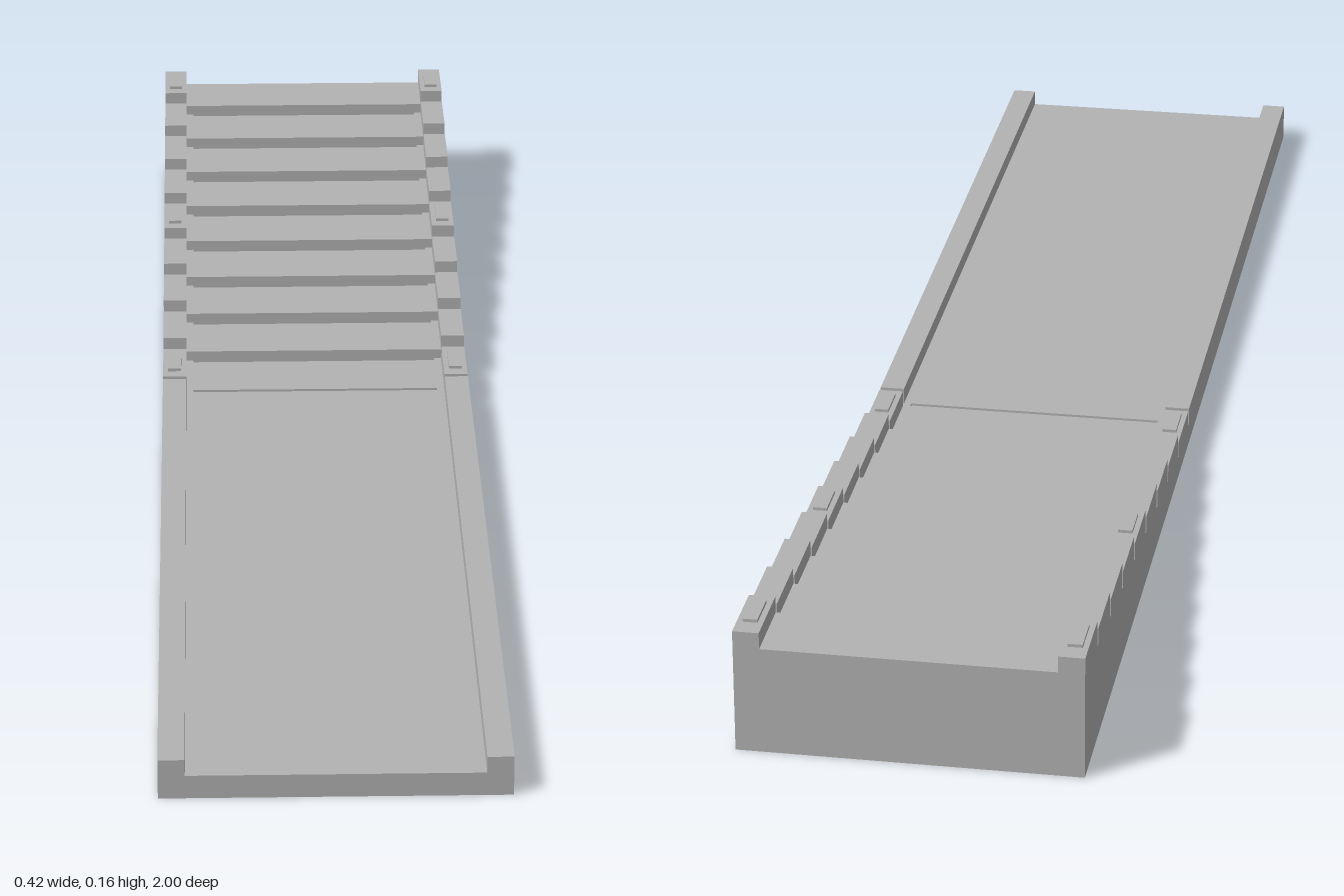
import * as THREE from 'three';

const HALF = 0.21, INNER = 0.178, RAIL = 0.021, FLOOR = 0.03;
const STEPS = 9, RISE = 0.0135, START = -0.09, SLIT = 0.008;
const PITCH = (1 + START) / STEPS;

export function createModel() {
  const group = new THREE.Group();
  const grey = new THREE.MeshStandardMaterial({ color: 0xb2b2b2 });
  grey.name = 'plain grey';

  const add = (name, geometry) => {
    const mesh = new THREE.Mesh(geometry, grey);
    mesh.name = name;
    group.add(mesh);
  };

  // Box given by its x, y and z limits
  const box = (name, x0, x1, y0, y1, z0, z1) => {
    const g = new THREE.BoxGeometry(x1 - x0, y1 - y0, z1 - z0);
    g.translate((x0 + x1) / 2, (y0 + y1) / 2, (z0 + z1) / 2);
    add(name, g);
  };

  // U-shaped trough running from zBack to zFront
  const trough = (name, floor, zBack, zFront) => {
    const top = floor + RAIL;
    const shape = new THREE.Shape([
      [-HALF, 0], [HALF, 0], [HALF, top], [INNER, top],
      [INNER, floor], [-INNER, floor], [-INNER, top], [-HALF, top],
    ].map(([x, y]) => new THREE.Vector2(x, y)));
    const g = new THREE.ExtrudeGeometry(shape, { depth: zFront - zBack, bevelEnabled: false });
    g.translate(0, 0, zBack);
    add(name, g);
  };

  // Long level run
  trough('levelRun', FLOOR, START, 1);

  // Rising treads, each parted from the one before by a narrow slit in the rails
  for (let i = 0; i < STEPS; i++) {
    const floor = FLOOR + i * RISE;
    const front = START - i * PITCH;
    const back = i === STEPS - 1 ? -1 : front - PITCH;
    trough('tread', floor, back, front - SLIT);

    // Slit floor: shallow groove between two end blocks
    const low = FLOOR + Math.max(0, i - 1) * RISE;
    box('slitBase', -0.168, 0.168, 0, low - 0.003, front - SLIT, front);
    for (const s of [-1, 1]) {
      const a = s * 0.168, b = s * HALF;
      box('slitEnd', Math.min(a, b), Math.max(a, b), 0, low, front - SLIT, front);
      // Small raised cap on the rails of every fourth tread
      if (i % 4 === 0) {
        const mid = front - PITCH / 2, top = floor + RAIL;
        box('railCap', s * 0.194 - 0.009, s * 0.194 + 0.009, top - 0.002, top + 0.004, mid - 0.025, mid + 0.025);
      }
    }
  }
  return group;
}
